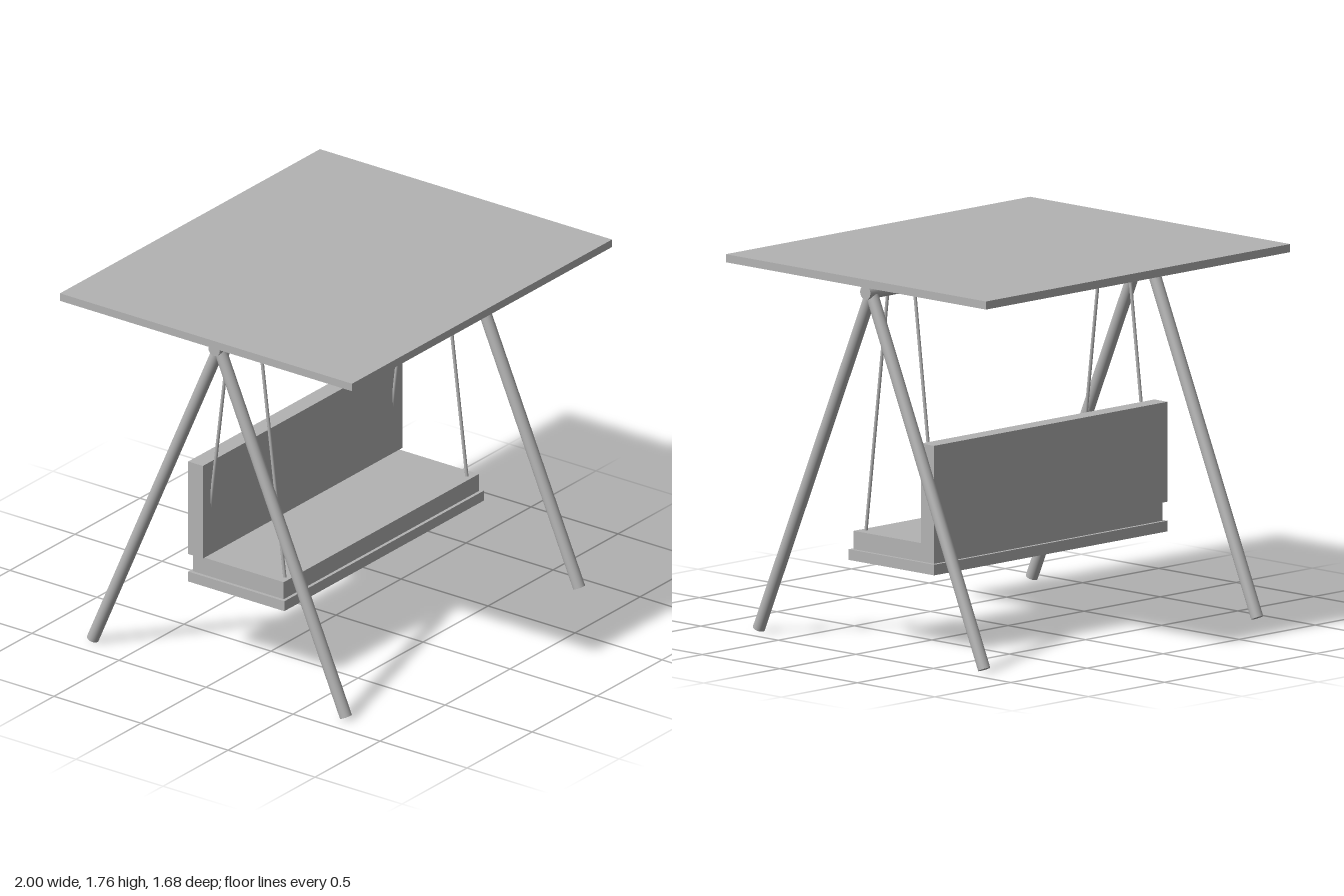
import * as THREE from 'three';

export function createModel() {
  const group = new THREE.Group();
  const grey = new THREE.MeshStandardMaterial({ name: 'grey', color: 0xb3b3b3 });

  // Box given by its width and its y and z ranges, centred on x
  function box(name, width, y0, y1, z0, z1) {
    const mesh = new THREE.Mesh(new THREE.BoxGeometry(width, y1 - y0, z1 - z0), grey);
    mesh.name = name;
    mesh.position.set(0, (y0 + y1) / 2, (z0 + z1) / 2);
    group.add(mesh);
  }

  // Round rod between two points
  function rod(name, from, to, radius, sides = 24) {
    const a = new THREE.Vector3(...from), b = new THREE.Vector3(...to);
    const dir = b.clone().sub(a);
    const mesh = new THREE.Mesh(new THREE.CylinderGeometry(radius, radius, dir.length(), sides), grey);
    mesh.name = name;
    mesh.position.copy(a).add(b).multiplyScalar(0.5);
    mesh.quaternion.setFromUnitVectors(new THREE.Vector3(0, 1, 0), dir.normalize());
    group.add(mesh);
  }

  // Canopy and bench
  box('canopy', 2, 1.726, 1.764, -0.839, 0.839);
  box('seatBase', 1.534, 0.375, 0.425, -0.276, 0.276);
  box('seatCushion', 1.5, 0.425, 0.511, -0.26, 0.26);
  box('backrest', 1.534, 0.514, 0.982, -0.276, -0.192);

  // Frame: top beam, A-shaped legs and hanging ropes
  rod('topBeam', [-0.938, 1.686, 0], [0.938, 1.686, 0], 0.033, 32);
  for (const side of [1, -1]) {
    for (const end of [1, -1]) {
      const name = (end > 0 ? 'front' : 'back') + (side > 0 ? 'Left' : 'Right');
      rod(name + 'Leg', [side * 0.897, 0.012, end * 0.727], [side * 0.897, 1.68, 0], 0.029);
      rod(name + 'Rope', [side * 0.7, 0.508, end * 0.229], [side * 0.7, 1.656, end * 0.087], 0.008, 12);
    }
  }
  return group;
}
